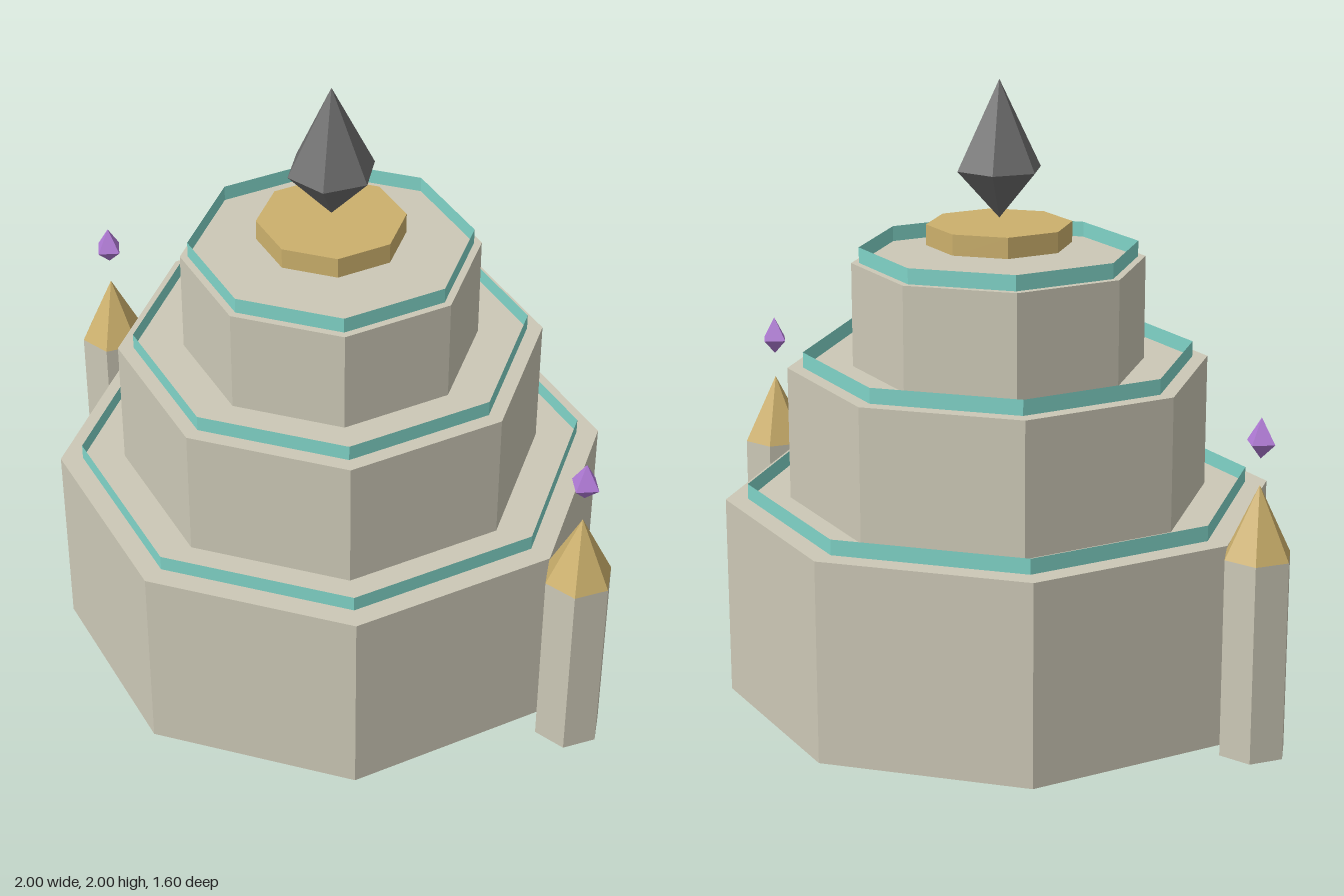
import * as THREE from 'three';

const mat = (color, side = THREE.FrontSide) =>
  new THREE.MeshStandardMaterial({ color, flatShading: true, side });

export function createModel() {
  const model = new THREE.Group();
  const stone = mat(0xccc8b6);
  const gold = mat(0xccb06c);
  const goldTrim = mat(0xccb06c, THREE.DoubleSide);
  const teal = mat(0x80d4c8, THREE.DoubleSide);
  const dark = mat(0x5a554d, THREE.DoubleSide);
  const crystal = mat(0x6c6c6c);
  const violet = mat(0xb07ad6);

  // Upright prism or cone between two heights
  function prism(name, rTop, rBottom, y0, y1, sides, material, open = false) {
    const geo = new THREE.CylinderGeometry(rTop, rBottom, y1 - y0, sides, 1, open);
    if (sides === 6) geo.rotateY(Math.PI / 6); // corners point along x
    const mesh = new THREE.Mesh(geo, material);
    mesh.name = name;
    mesh.position.y = (y0 + y1) / 2;
    return mesh;
  }

  // Pointed gem: two cones sharing a waist
  function gem(name, r, y0, waist, y1, sides, material) {
    const group = new THREE.Group();
    group.name = name;
    group.add(
      prism(name + 'Top', 0, r, waist, y1, sides, material, true),
      prism(name + 'Bottom', r, 0, y0, waist, sides, material, true));
    return group;
  }

  // Tapering hull below the tiers, open at its lower tip
  const hull = new THREE.Mesh(new THREE.LatheGeometry(
    [[0.07, 0], [0.4, 0.085], [0.69, 0.2]].map(p => new THREE.Vector2(...p)), 8), dark);
  hull.name = 'hull';
  model.add(hull, prism('hullRing', 0.402, 0.402, 0.07, 0.085, 8, goldTrim, true));

  // Three octagonal tiers, each with a thin upright band on its terrace
  [
    [0.8, 0.2, 0.79, 0.735],
    [0.612, 0.79, 1.18, 0.567],
    [0.424, 1.18, 1.483, 0.402],
  ].forEach(([r, y0, y1, band], i) => {
    model.add(
      prism('tier' + (i + 1), r, r, y0, y1, 8, stone),
      prism('terraceBand' + (i + 1), band, band, y1, y1 + 0.045, 8, teal, true));
  });

  // Crown plate and floating crystal
  model.add(
    prism('crownPlate', 0.21, 0.21, 1.53, 1.59, 8, gold),
    gem('crystal', 0.127, 1.605, 1.745, 2, 6, crystal));

  // Side pillars with pointed roofs and floating gems
  for (const side of [1, -1]) {
    const tower = new THREE.Group();
    tower.name = side > 0 ? 'leftTower' : 'rightTower';
    tower.position.x = side * 0.898;
    tower.add(
      prism('pillar', 0.1, 0.1, 0.21, 0.783, 6, stone),
      prism('pillarRoof', 0, 0.1, 0.783, 0.985, 6, gold),
      gem('towerGem', 0.045, 1.06, 1.105, 1.175, 4, violet));
    model.add(tower);
  }
  return model;
}
